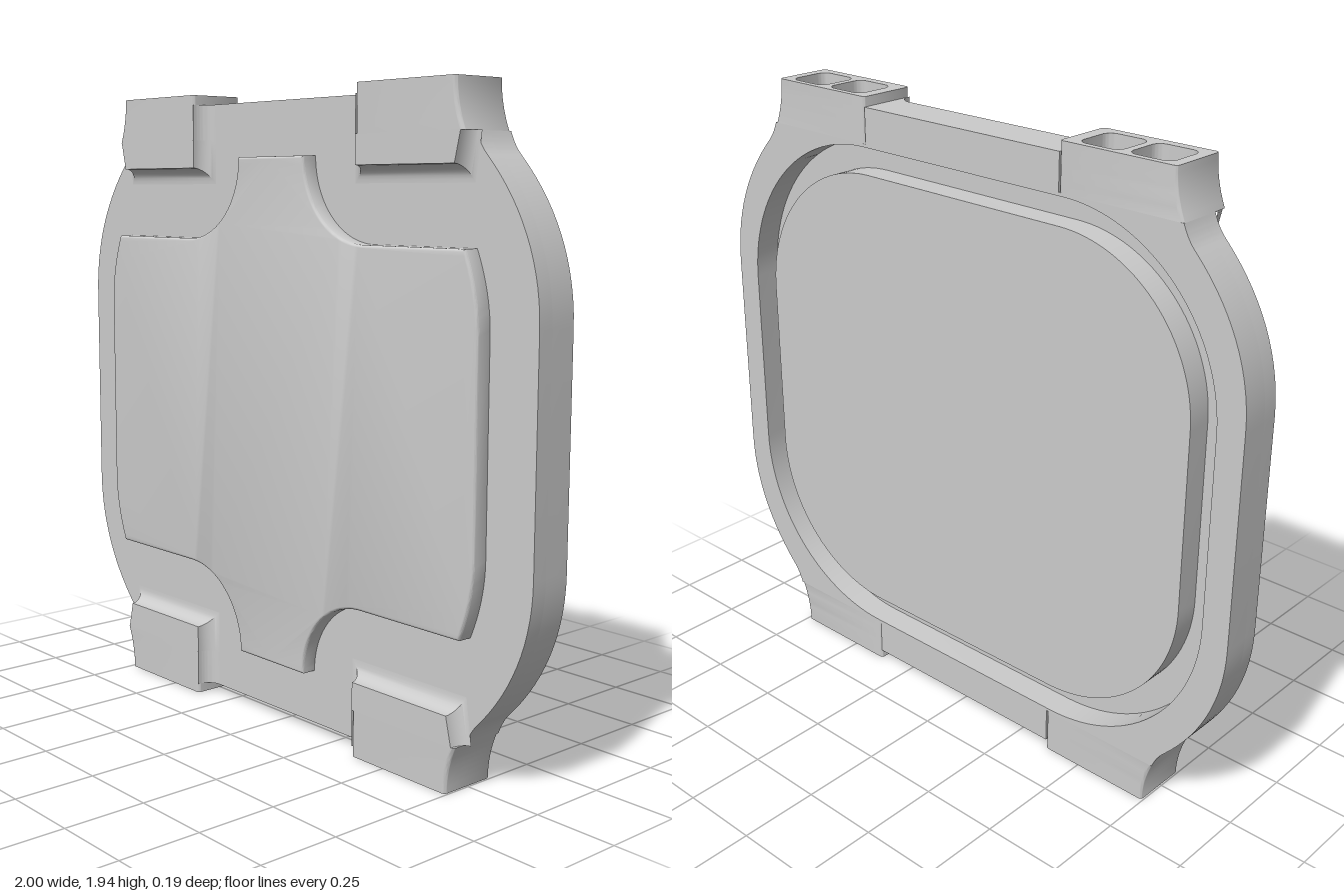
import * as THREE from 'three';
import { toCreasedNormals } from 'three/addons/utils/BufferGeometryUtils.js';

const material = new THREE.MeshStandardMaterial({ color: 0xcccccc });
const BACK = -0.095, GROOVE = -0.01, FACE = 0.04, FRONT = 0.09;
const CUT = 0.83, TOP = 0.97; // lug pocket floor and lug end, measured from the middle

// Rounded rectangle path between two corners
function roundRect(path, x0, y0, x1, y1, r) {
  path.moveTo(x1 - r, y0);
  path.absarc(x1 - r, y0 + r, r, -Math.PI / 2, 0);
  path.absarc(x1 - r, y1 - r, r, 0, Math.PI / 2);
  path.absarc(x0 + r, y1 - r, r, Math.PI / 2, Math.PI);
  path.absarc(x0 + r, y0 + r, r, Math.PI, Math.PI * 1.5);
  return path;
}

// Full outline from the path of its upper +x quarter
function symmetric(quarter) {
  const q = quarter.getPoints(14);
  const flip = (sx, sy) => q.map(p => new THREE.Vector2(p.x * sx, p.y * sy));
  const all = [...q, ...flip(-1, 1).reverse(), ...flip(-1, -1), ...flip(1, -1).reverse()];
  const pts = all.filter((p, i) => p.distanceTo(all[(i + 1) % all.length]) > 1e-5);
  return new THREE.Shape(pts);
}

function slab(shape, z0, z1, bevel = 0) {
  const g = new THREE.ExtrudeGeometry(shape, {
    depth: z1 - z0 - bevel, curveSegments: 16, bevelEnabled: bevel > 0,
    bevelSize: bevel, bevelThickness: bevel, bevelOffset: -bevel, bevelSegments: 3,
  });
  g.translate(0, 0, z0);
  return toCreasedNormals(g, 0.6);
}

// Copy of a geometry mirrored in x and/or y, with corner order kept outward
function mirrored(geometry, sx, sy) {
  const g = geometry.index ? geometry.toNonIndexed() : geometry.clone();
  g.scale(sx, sy, 1);
  if (sx * sy < 0) {
    for (const a of Object.values(g.attributes)) {
      const n = a.itemSize;
      for (let i = 0; i < a.count; i += 3) {
        for (let k = 0; k < n; k++) {
          const p = (i + 1) * n + k, q = (i + 2) * n + k;
          [a.array[p], a.array[q]] = [a.array[q], a.array[p]];
        }
      }
    }
  }
  return g;
}

// Lug end: a block along y with two square pockets and a flared outer flank
function lugBlock() {
  const s = roundRect(new THREE.Shape(), 0.37, -FRONT, 0.745, -BACK, 0.012);
  for (const x of [0.412, 0.574]) {
    s.holes.push(roundRect(new THREE.Path(), x, -0.06, x + 0.138, 0.075, 0.03));
  }
  const g = new THREE.ExtrudeGeometry(s, { depth: TOP - CUT, steps: 8, bevelEnabled: false, curveSegments: 5 });
  g.rotateX(-Math.PI / 2);
  g.translate(0, CUT, 0);
  const p = g.attributes.position;
  for (let i = 0; i < p.count; i++) {
    const t = (TOP - p.getY(i)) / (TOP - CUT);
    if (p.getX(i) > 0.73) p.setX(i, p.getX(i) + 0.03 * t * t);
  }
  return toCreasedNormals(g, 0.6);
}

// Lug root: stacked rectangles that flare into the face with a concave fillet
function lugRoot() {
  const pos = [], idx = [], n = 8, r = 0.05;
  for (let i = 0; i <= n; i++) {
    const a = (i / n) * Math.PI / 2;
    const f = r * (1 - Math.sin(a)), z = FRONT - r * Math.cos(a);
    const x0 = 0.37 - f, x1 = 0.745 + f * 0.6, y0 = 0.745 - f;
    pos.push(x0, y0, z, x1, y0, z, x1 + 0.02, CUT, z, x0, CUT, z);
  }
  for (let i = 0; i < n; i++) {
    for (let k = 0; k < 4; k++) {
      const a = i * 4 + k, b = i * 4 + (k + 1) % 4;
      idx.push(a, b, b + 4, a, b + 4, a + 4);
    }
  }
  idx.push(n * 4, n * 4 + 1, n * 4 + 2, n * 4, n * 4 + 2, n * 4 + 3);
  const g = new THREE.BufferGeometry();
  g.setAttribute('position', new THREE.Float32BufferAttribute(pos, 3));
  g.setIndex(idx);
  // rows run from the face outward
  return toCreasedNormals(g.toNonIndexed(), 0.6);
}

// Fillet strip between the lug's inner flank and the face
function lugFillet() {
  const s = new THREE.Shape();
  s.moveTo(0.32, -FACE);
  s.absarc(0.32, -FRONT, 0.05, Math.PI / 2, 0, true);
  s.lineTo(0.372, -FACE);
  const g = new THREE.ExtrudeGeometry(s, { depth: 0.94 - CUT, bevelEnabled: false, curveSegments: 8 });
  g.rotateX(-Math.PI / 2);
  g.translate(0, CUT, 0);
  return toCreasedNormals(g, 0.6);
}

export function createModel() {
  const root = new THREE.Group();
  root.name = 'coverPlate';
  const plate = new THREE.Group();
  plate.name = 'plate';
  plate.position.y = TOP;
  root.add(plate);
  const add = (name, geometry) => {
    const mesh = new THREE.Mesh(geometry, material);
    mesh.name = name;
    plate.add(mesh);
  };

  // Body outline, notched where the lugs sit
  const outline = () => {
    const q = new THREE.Path();
    q.moveTo(1, 0);
    q.lineTo(1, 0.325);
    q.bezierCurveTo(1, 0.5, 0.93, 0.645, 0.815, 0.765);
    q.quadraticCurveTo(0.79, 0.79, 0.775, CUT);
    q.lineTo(0.37, CUT);
    q.lineTo(0.37, 0.94);
    q.lineTo(0, 0.94);
    return symmetric(q);
  };
  add('frontWall', slab(outline(), GROOVE, FACE));

  // Rear rim and plateau, with the groove left between them
  const rim = outline();
  rim.holes.push(roundRect(new THREE.Path(), -0.914, -0.82, 0.914, 0.82, 0.53));
  add('rearRim', slab(rim, BACK, GROOVE));
  add('rearPlateau', slab(roundRect(new THREE.Shape(), -0.83, -0.735, 0.83, 0.735, 0.46), -0.09, GROOVE));

  // Raised front panel with concave shoulders
  const p = new THREE.Path();
  p.moveTo(0.835, 0);
  p.lineTo(0.835, 0.3);
  p.quadraticCurveTo(0.835, 0.41, 0.785, 0.525);
  p.lineTo(0.4, 0.525);
  p.absarc(0.4, 0.775, 0.25, -Math.PI / 2, -Math.PI, true);
  p.lineTo(0, 0.775);
  add('frontPanel', slab(symmetric(p), FACE, FRONT, 0.008));

  // Four corner lugs
  const parts = { lugBlock: lugBlock(), lugRoot: lugRoot(), lugFillet: lugFillet() };
  for (const sx of [1, -1]) {
    for (const sy of [1, -1]) {
      const where = (sy > 0 ? 'Upper' : 'Lower') + (sx > 0 ? 'Left' : 'Right');
      for (const [name, g] of Object.entries(parts)) add(name + where, mirrored(g, sx, sy));
    }
  }
  return root;
}
